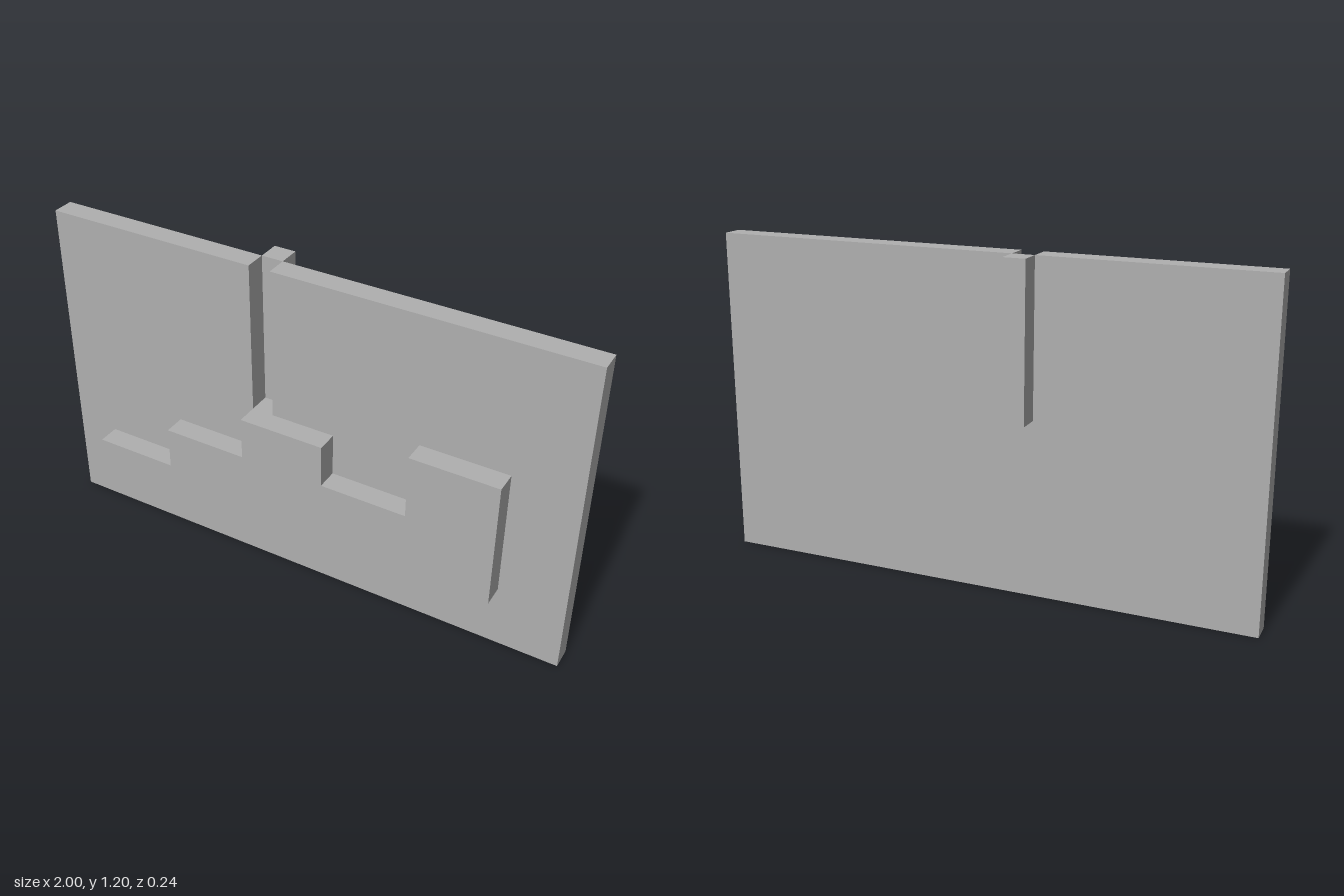
import * as THREE from 'three';

// Extrude a flat outline from zBack to zFront
function plate(name, points, zBack, zFront, material) {
  const shape = new THREE.Shape(points.map(([x, y]) => new THREE.Vector2(x, y)));
  const geometry = new THREE.ExtrudeGeometry(shape, { depth: zFront - zBack, bevelEnabled: false });
  geometry.translate(0, 0, zBack);
  const mesh = new THREE.Mesh(geometry, material);
  mesh.name = name;
  return mesh;
}

export function createModel() {
  const group = new THREE.Group();
  group.name = 'steppedReliefPanel';
  const grey = new THREE.MeshStandardMaterial({ color: 0xb0b0b0 });
  grey.name = 'grey';

  // Upright panel with a slot open at the top
  group.add(plate('panel', [
    [-1, 0], [1, 0], [1, 1.2], [-0.12, 1.2],
    [-0.12, 0.64], [-0.2, 0.64], [-0.2, 1.2], [-1, 1.2],
  ], -0.04, 0.04, grey));

  // Raised stepped skyline on the front
  group.add(plate('steppedRelief', [
    [-0.84, 0.24], [0.76, 0.24], [0.76, 0.72], [0.44, 0.72],
    [0.44, 0.48], [0.12, 0.48], [0.12, 0.64], [-0.2, 0.64],
    [-0.2, 0.48], [-0.52, 0.48], [-0.52, 0.32], [-0.84, 0.32],
  ], 0.04, 0.12, grey));

  // Post closing the slot from behind
  const post = new THREE.Mesh(new THREE.BoxGeometry(0.08, 0.56, 0.08), grey);
  post.name = 'backPost';
  post.position.set(-0.16, 0.92, -0.08);
  group.add(post);

  return group;
}
